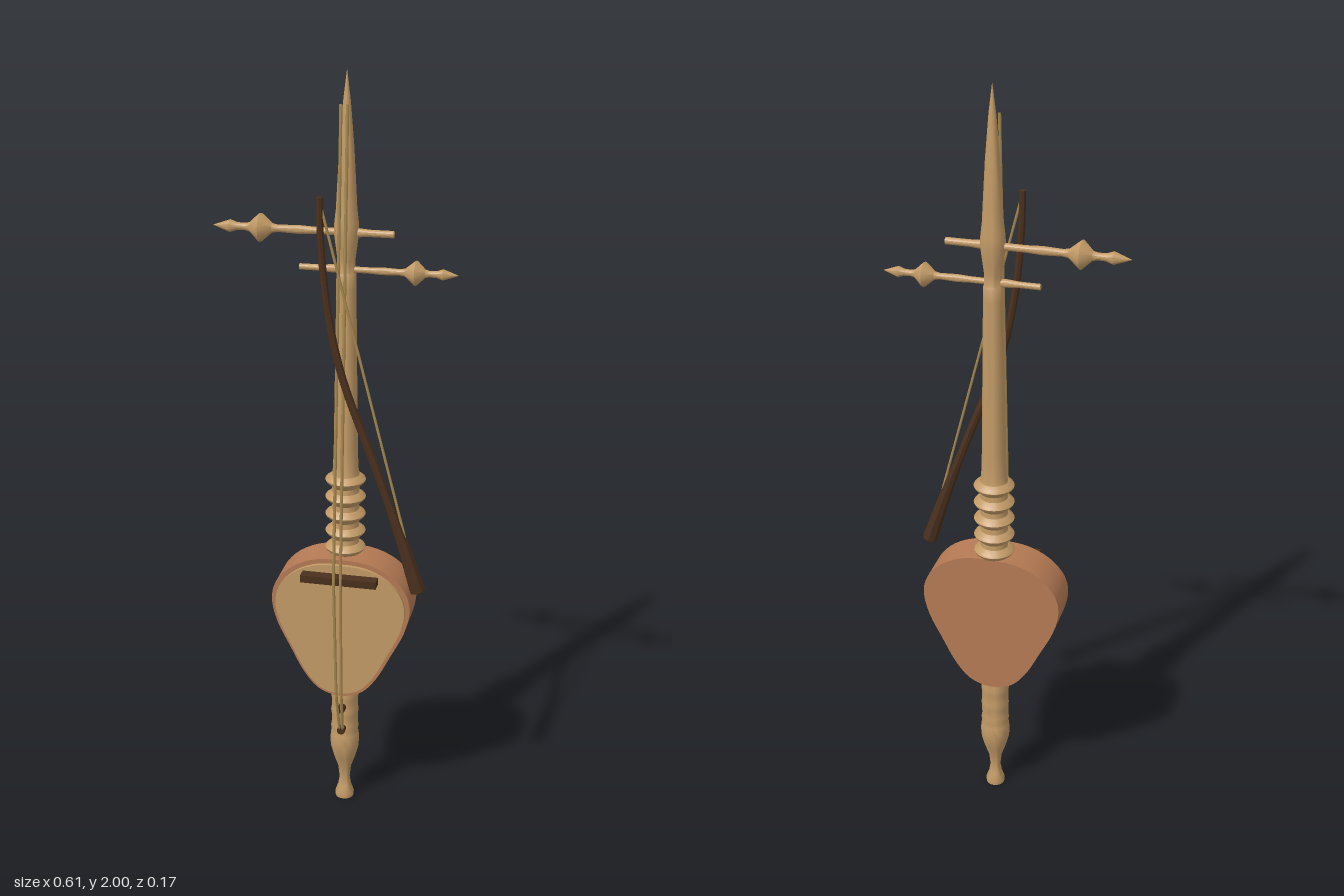
import * as THREE from 'three';
import { toCreasedNormals } from 'three/addons/utils/BufferGeometryUtils.js';

const AX = 0.028, AZ = -0.035; // axis of the neck

function material(name, color) {
  const m = new THREE.MeshStandardMaterial({ color });
  m.name = name;
  return m;
}

function lathe(points, sides) {
  const g = new THREE.LatheGeometry(points.map(([r, y]) => new THREE.Vector2(r, y)), sides);
  return toCreasedNormals(g, 0.6);
}

// Outline of the pear-shaped body, shrunk about its middle by the inset
function bodyShape(inset) {
  const half = [[0.07, 0.75], [0.132, 0.722], [0.172, 0.678], [0.185, 0.63],
    [0.173, 0.565], [0.135, 0.485], [0.095, 0.41], [0.055, 0.367]];
  const cy = 0.555, sx = 1 - inset / 0.185, sy = 1 - inset / 0.2;
  const put = (x, y) => new THREE.Vector3(AX + x * sx, cy + (y - cy) * sy, 0);
  const pts = [put(0, 0.755), ...half.map(([x, y]) => put(x, y)), put(0, 0.352),
    ...half.slice().reverse().map(([x, y]) => put(-x, y))];
  const curve = new THREE.CatmullRomCurve3(pts, true);
  return new THREE.Shape(curve.getPoints(64).slice(0, 64).map(p => new THREE.Vector2(p.x, p.y)));
}

function slab(inset, z0, z1) {
  const g = new THREE.ExtrudeGeometry(bodyShape(inset), { depth: z1 - z0, bevelEnabled: false });
  g.translate(0, 0, z0);
  return toCreasedNormals(g, 0.6);
}

// Tube whose radius follows a rule, with flat ends
function taperedTube(curve, seg, sides, radius) {
  const g = new THREE.TubeGeometry(curve, seg, 1, sides);
  const p = g.attributes.position, v = new THREE.Vector3();
  for (let i = 0; i <= seg; i++) {
    const c = curve.getPointAt(i / seg);
    const inner = curve.getPointAt(Math.min(Math.max(i, 1), seg - 1) / seg);
    const r = i === 0 || i === seg ? 0 : radius(i / seg);
    for (let j = 0; j <= sides; j++) {
      const k = i * (sides + 1) + j;
      v.fromBufferAttribute(p, k).sub(c).multiplyScalar(r).add(inner);
      p.setXYZ(k, v.x, v.y, v.z);
    }
  }
  return toCreasedNormals(g, 0.6);
}

// Straight runs joined at the given points
function polyline(points) {
  const path = new THREE.CurvePath();
  const v = points.map(p => new THREE.Vector3(...p));
  for (let i = 1; i < v.length; i++) path.add(new THREE.LineCurve3(v[i - 1], v[i]));
  return path;
}

export function createModel() {
  const model = new THREE.Group();
  const wood = material('light wood', 0xc29a66);
  const red = material('reddish wood', 0xb57a54);
  const dark = material('dark wood', 0x4a301d);
  const gut = material('string', 0xa88a50);
  const add = (name, geometry, mat, x = 0, y = 0, z = 0) => {
    const mesh = new THREE.Mesh(geometry, mat);
    mesh.name = name;
    mesh.position.set(x, y, z);
    model.add(mesh);
    return mesh;
  };

  // Body and soundboard
  add('body', slab(0, -0.075, 0.03), red);
  add('soundboard', slab(0.012, 0.028, 0.04), wood);

  // Tail spike with shallow ridges
  const tail = [[0, 0], [0.025, 0], [0.026, 0.012], [0.018, 0.035], [0.014, 0.06], [0.018, 0.095],
    [0.03, 0.13], [0.038, 0.16], [0.04, 0.185], [0.038, 0.205]];
  for (const y of [0.225, 0.275, 0.325]) {
    tail.push([0.036, y - 0.012], [0.038, y], [0.036, y + 0.012]);
  }
  tail.push([0.036, 0.375], [0, 0.375]);
  add('tailSpike', lathe(tail, 24), wood, AX, 0, AZ);

  // Neck with thin turned rings at its foot and a long pointed head
  const neck = [[0, 0.74], [0.034, 0.74]];
  for (const y of [0.768, 0.815, 0.863, 0.911, 0.959]) {
    neck.push([0.035, y - 0.02], [0.05, y - 0.006], [0.053, y], [0.05, y + 0.005], [0.036, y + 0.014]);
  }
  neck.push([0.033, 0.99], [0.031, 1.05], [0.025, 1.47], [0.025, 1.505], [0.022, 1.51], [0.022, 1.54],
    [0.026, 1.57], [0.031, 1.61], [0.03, 1.635], [0.026, 1.67],
    [0.024, 1.71], [0.018, 1.82], [0.009, 1.93], [0.0005, 2]);
  add('neck', lathe(neck, 24), wood, AX, 0, AZ);

  // Tuning pegs, one from each side
  const pegShape = lathe([[0, 0], [0.009, 0], [0.009, 0.06], [0.012, 0.1], [0.009, 0.13], [0.009, 0.2],
    [0.011, 0.24], [0.009, 0.29], [0.012, 0.305], [0.034, 0.331], [0.036, 0.335],
    [0.034, 0.339], [0.012, 0.362], [0.009, 0.375], [0.01, 0.395], [0.016, 0.412], [0.008, 0.435],
    [0.0005, 0.455]], 16);
  const upperPeg = add('upperPeg', pegShape, wood, 0.146, 1.61, AZ);
  upperPeg.rotation.z = Math.PI / 2;
  const lowerPeg = add('lowerPeg', pegShape, wood, -0.09, 1.517, AZ);
  lowerPeg.rotation.z = -Math.PI / 2;
  lowerPeg.scale.setScalar(0.87);

  // Bridge
  add('bridge', new THREE.BoxGeometry(0.2, 0.02, 0.032), dark, 0.03, 0.71, 0.054);

  // Two strings over the bridge, clear of the soundboard, tied to pins on the tail
  for (const side of [-1, 1]) {
    const path = polyline([[AX + side * 0.008, 1.925, -0.004], [AX + side * 0.009, 0.71, 0.07],
      [AX + side * 0.007, 0.36, 0.046], [AX + side * 0.004, 0.235, 0.014]]);
    add('string', new THREE.TubeGeometry(path, 60, 0.004, 6), gut);
  }
  for (const y of [0.235, 0.3]) {
    const pin = add('tailPin', new THREE.CylinderGeometry(0.011, 0.011, 0.02, 10), dark, AX, y, 0.009);
    pin.rotation.x = Math.PI / 2;
  }

  // Bow: bent stick flaring to the grip, with straight hair
  const bow = new THREE.CatmullRomCurve3([[-0.016, 1.735, 0.067], [-0.014, 1.62, 0.067],
    [0.003, 1.44, 0.066], [0.04, 1.27, 0.066], [0.125, 1.04, 0.066], [0.193, 0.85, 0.066],
    [0.245, 0.69, 0.066]].map(p => new THREE.Vector3(...p)));
  add('bowStick', taperedTube(bow, 60, 8, t => 0.0085 + 0.004 * t + 0.009 * Math.max(0, (t - 0.75) / 0.25)), dark);
  add('bowHair', new THREE.TubeGeometry(polyline([[-0.014, 1.7, 0.067], [0.228, 0.76, 0.067]]), 1, 0.0035, 6), gut);

  return model;
}
